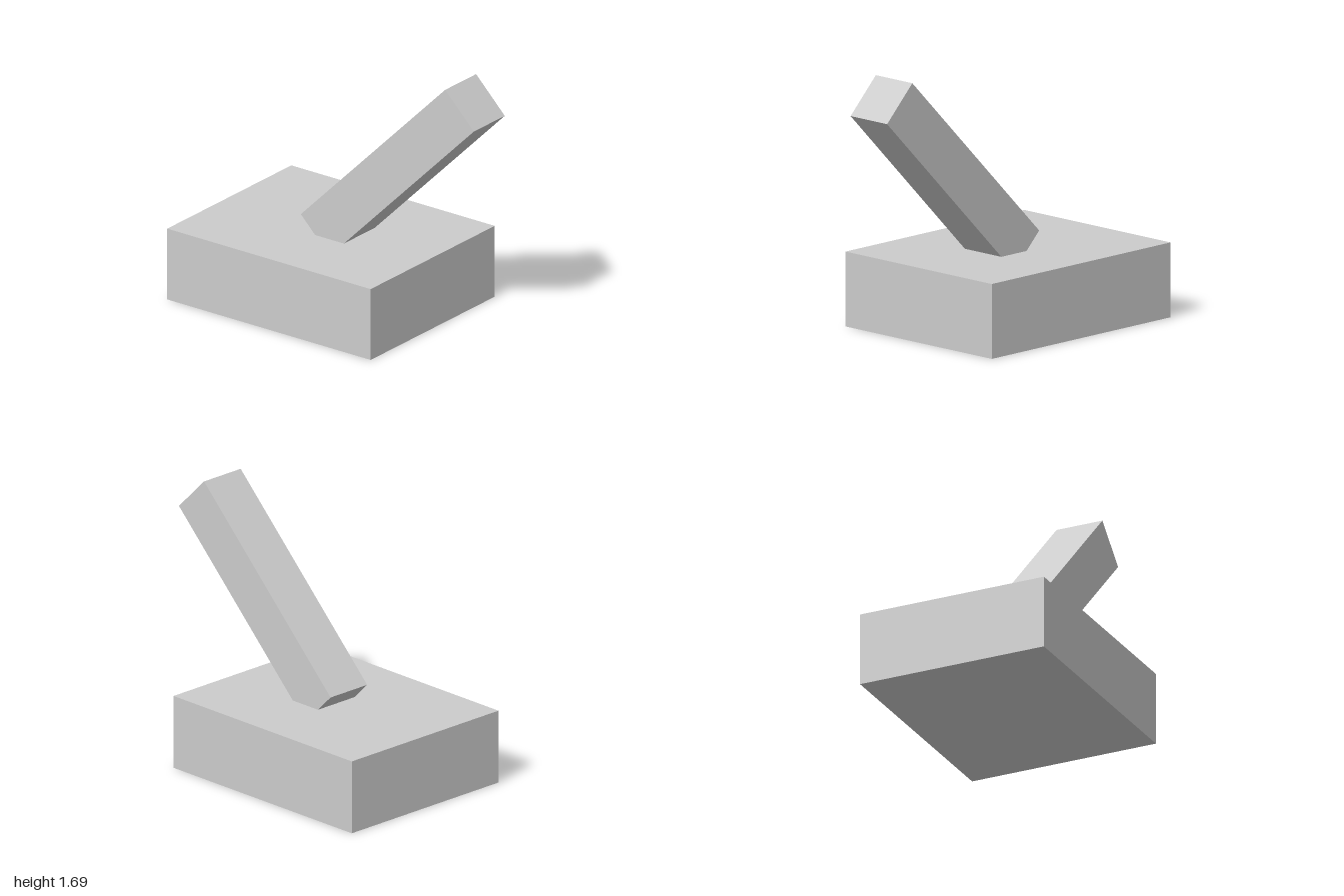
import * as THREE from 'three';

export function createModel() {
  const model = new THREE.Group();
  const material = new THREE.MeshStandardMaterial({ color: 0xcccccc, flatShading: true });

  const addBox = (name, size, position) => {
    const mesh = new THREE.Mesh(new THREE.BoxGeometry(...size), material);
    mesh.name = name;
    mesh.position.set(...position);
    model.add(mesh);
    return mesh;
  };

  // Block resting on the floor
  addBox('base', [1.25, 0.47, 1.565], [0, 0.235, -0.2175]);

  // Square lever leaning forward, its lower end sunk into the base
  const lever = addBox('lever', [0.312, 1.57, 0.312], [0, 1.025, 0.335]);
  lever.rotation.x = Math.PI / 4;

  return model;
}
